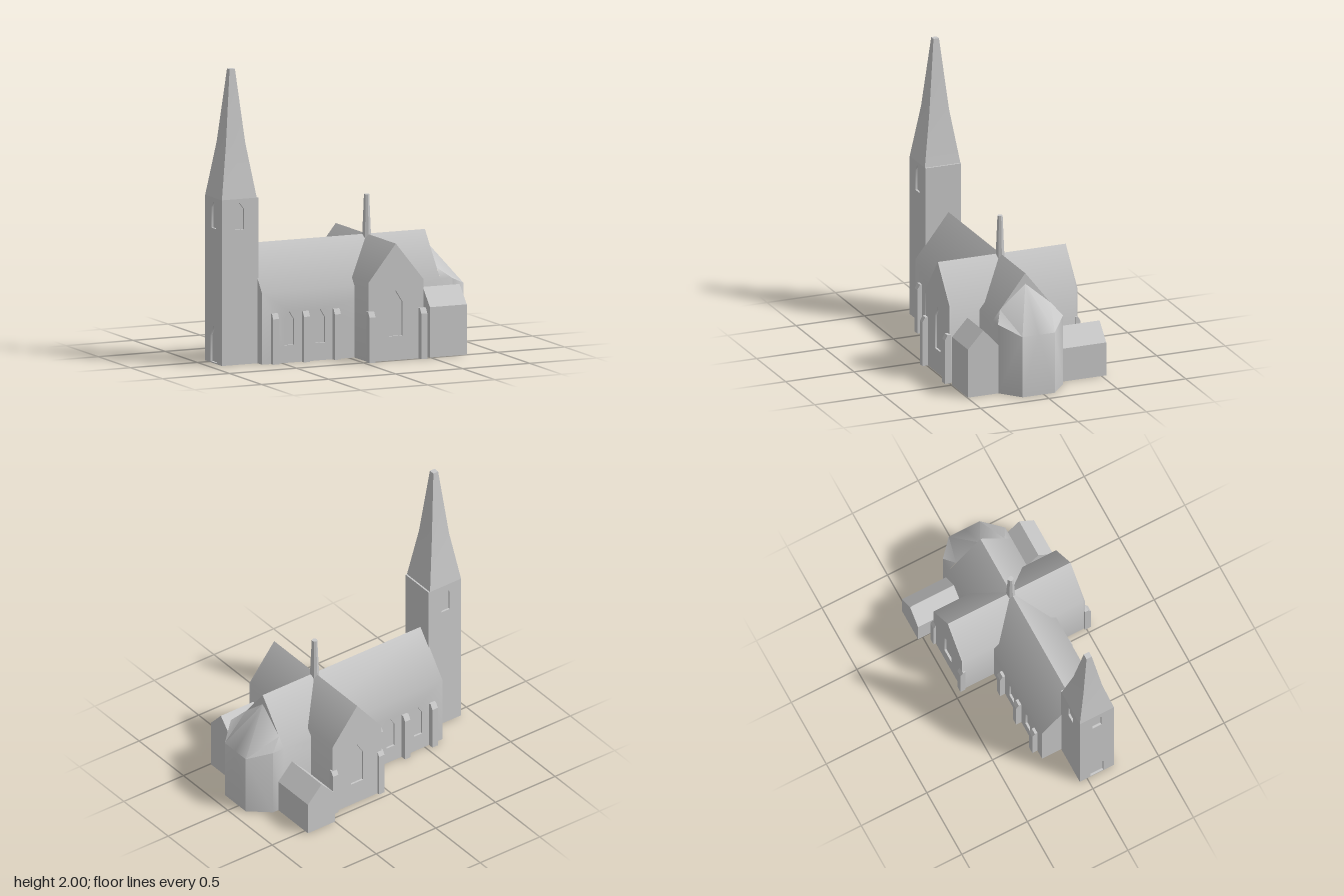
import * as THREE from 'three';
import { mergeGeometries, toCreasedNormals } from 'three/addons/utils/BufferGeometryUtils.js';

const stone = new THREE.MeshStandardMaterial({ color: 0xc8c8c8 });
stone.name = 'grey stone';

const AXIS = 0.037; // z of the nave ridge
const CROSS = 0.245; // x of the transept ridge
const RECESS = 0.015; // depth of window openings

const polygon = (pts) => new THREE.Shape(pts.map(([x, y]) => new THREE.Vector2(x, y)));
const extrude = (shape, depth) =>
  new THREE.ExtrudeGeometry(shape, { depth, bevelEnabled: false, steps: 1 });

// merge pieces and smooth only the shallow edges
function makeMesh(name, pieces, crease = 0.8) {
  const clean = pieces.map((g) => {
    const n = g.index ? g.toNonIndexed() : g;
    n.deleteAttribute('uv');
    n.clearGroups();
    return n;
  });
  const mesh = new THREE.Mesh(toCreasedNormals(mergeGeometries(clean), crease), stone);
  mesh.name = name;
  return mesh;
}

// pointed opening
const lancet = (x, w, y0, shoulder, top) =>
  polygon([[x - w / 2, y0], [x + w / 2, y0], [x + w / 2, shoulder], [x, top], [x - w / 2, shoulder]]);

// upright panel with openings, its face on z = 0 looking to +z
function panel(outline, openings) {
  const shape = polygon(outline);
  shape.holes.push(...openings);
  return extrude(shape, RECESS).translate(0, 0, -RECESS);
}

const rect = (x0, x1, h) => [[x0, 0], [x1, 0], [x1, h], [x0, h]];
const gable = (half, eave, ridge) =>
  [[-half, 0], [half, 0], [half, eave], [0, ridge], [-half, eave]];

function box(x0, x1, y0, y1, z0, z1) {
  return new THREE.BoxGeometry(x1 - x0, y1 - y0, z1 - z0)
    .translate((x0 + x1) / 2, (y0 + y1) / 2, (z0 + z1) / 2);
}

// faceted choir end, one half mirrored to the other side
function apseGeometry() {
  const P = {
    T: [0.68, 0.72, 0], D: [0.68, 0.56, 0.185], E: [0.68, 0.49, 0.238], B: [0.77, 0.49, 0.238],
    C: [0.91, 0.43, 0.118], X: [0.91, 0.43, 0],
    e: [0.68, 0, 0.238], b: [0.77, 0, 0.238], c: [0.91, 0, 0.118], x: [0.91, 0, 0], o: [0.68, 0, 0],
  };
  const faces = ['ebBE', 'bcCB', 'cxXC', 'EBD', 'DBC', 'DCT', 'TCX', 'xcbeo'];
  const pos = [];
  for (const s of [1, -1]) {
    for (const f of faces) {
      for (let i = 1; i < f.length - 1; i++) {
        const tri = s > 0 ? [f[0], f[i], f[i + 1]] : [f[0], f[i + 1], f[i]];
        for (const k of tri) pos.push(P[k][0], P[k][1], P[k][2] * s);
      }
    }
  }
  const g = new THREE.BufferGeometry();
  g.setAttribute('position', new THREE.Float32BufferAttribute(pos, 3));
  g.computeVertexNormals();
  return g;
}

function makeNave() {
  const x0 = -0.65, x1 = 0.68, half = 0.238, eave = 0.49, ridge = 0.795;
  const roof = extrude(polygon([[-half, eave], [half, eave], [0, ridge]]), x1 - x0)
    .rotateY(Math.PI / 2).translate(x0, 0, 0);
  const core = box(x0, x1, 0, eave, -half + RECESS, half - RECESS);
  const windows = (s) => [-0.445, -0.215].map((x) => lancet(x * s, 0.07, 0.12, 0.295, 0.35));
  const south = panel(rect(x0, x1, eave), windows(1)).translate(0, 0, half);
  const north = panel(rect(-x1, -x0, eave), windows(-1)).rotateY(Math.PI).translate(0, 0, -half);
  const mesh = makeMesh('naveAndApse', [roof, core, south, north, apseGeometry()]);
  mesh.position.z = AXIS;
  return mesh;
}

function makeTransept() {
  const zFront = 0.492, zBack = -0.443;
  const outline = gable(0.205, 0.54, 0.795);
  const opening = () => [lancet(0, 0.1, 0.165, 0.395, 0.475)];
  const core = extrude(polygon(outline), zFront - zBack - 2 * RECESS).translate(0, 0, zBack + RECESS);
  const front = panel(outline, opening()).translate(0, 0, zFront);
  const back = panel(outline, opening()).rotateY(Math.PI).translate(0, 0, zBack);
  const mesh = makeMesh('transept', [core, front, back]);
  mesh.position.x = CROSS;
  return mesh;
}

function makeTower() {
  const group = new THREE.Group();
  group.name = 'tower';
  const h = 1.13, half = 0.13, cx = -0.785, cz = 0.075, east = 0.142;
  const bell = () => lancet(0, 0.07, 0.92, 1.06, 1.105);
  const door = lancet(0, 0.1, 0.008, 0.18, 0.26);
  const walls = makeMesh('towerWalls', [
    box(-half + RECESS, east, 0, h, -half + RECESS, half - RECESS),
    panel(rect(-half, east, h), [bell()]).translate(0, 0, half),
    panel(rect(-east, half, h), [bell()]).rotateY(Math.PI).translate(0, 0, -half),
    panel(rect(-half, half, h), [bell(), door]).rotateY(-Math.PI / 2).translate(-half, 0, 0),
  ]);

  // four-sided spire, steeper above the middle
  const tier = (r0, r1, y0, y1, open) =>
    new THREE.CylinderGeometry(r1 * Math.SQRT2, r0 * Math.SQRT2, y1 - y0, 4, 1, open)
      .rotateY(Math.PI / 4).translate(0, (y0 + y1) / 2, 0);
  const spire = makeMesh('spire', [tier(0.13, 0.072, h, 1.5, true), tier(0.072, 0.02, 1.5, 2, false)], 0.2);
  group.add(walls, spire);
  group.position.set(cx, 0, cz);
  return group;
}

// buttress with a sloped cap, reaching out along +z (side 1) or -z (side -1)
function makeButtress(name, x, z, depth, side) {
  const profile = polygon([[0, 0], [depth, 0], [depth, 0.31], [depth - 0.02, 0.345], [0, 0.345]]);
  const g = extrude(profile, 0.045).translate(0, 0, -0.0225).rotateY(-Math.PI / 2);
  if (side < 0) g.rotateY(Math.PI);
  const mesh = makeMesh(name, [g], 0.2);
  mesh.position.set(x, 0, z);
  return mesh;
}

export function createModel() {
  const model = new THREE.Group();
  model.name = 'church';
  model.add(makeNave(), makeTransept(), makeTower());

  // buttresses along the nave and at the transept corners
  for (const x of [-0.56, -0.33, -0.1]) {
    model.add(makeButtress('naveButtress', x, 0.265, 0.045, 1));
    model.add(makeButtress('naveButtress', x, -0.191, 0.049, -1));
  }
  for (const x of [0.052, 0.438]) {
    model.add(makeButtress('transeptButtress', x, 0.487, 0.045, 1));
    model.add(makeButtress('transeptButtress', x, -0.423, 0.038, -1));
  }

  // small roof turret over the crossing
  const turret = makeMesh('roofTurret', [new THREE.CylinderGeometry(0.019, 0.033, 0.315, 8)], 0.2);
  turret.position.set(CROSS, 0.9075, AXIS);
  model.add(turret);

  // front annex, ridge along x
  const frontAnnex = makeMesh('frontAnnex', [
    extrude(polygon(gable(0.112, 0.343, 0.465)), 0.275).rotateY(Math.PI / 2)], 0.2);
  frontAnnex.position.set(0.498, 0, 0.383);
  // back annex, ridge along z
  const backAnnex = makeMesh('backAnnex', [extrude(polygon(gable(0.114, 0.235, 0.355)), 0.345)], 0.2);
  backAnnex.position.set(0.612, 0, -0.535);
  model.add(frontAnnex, backAnnex);
  return model;
}
